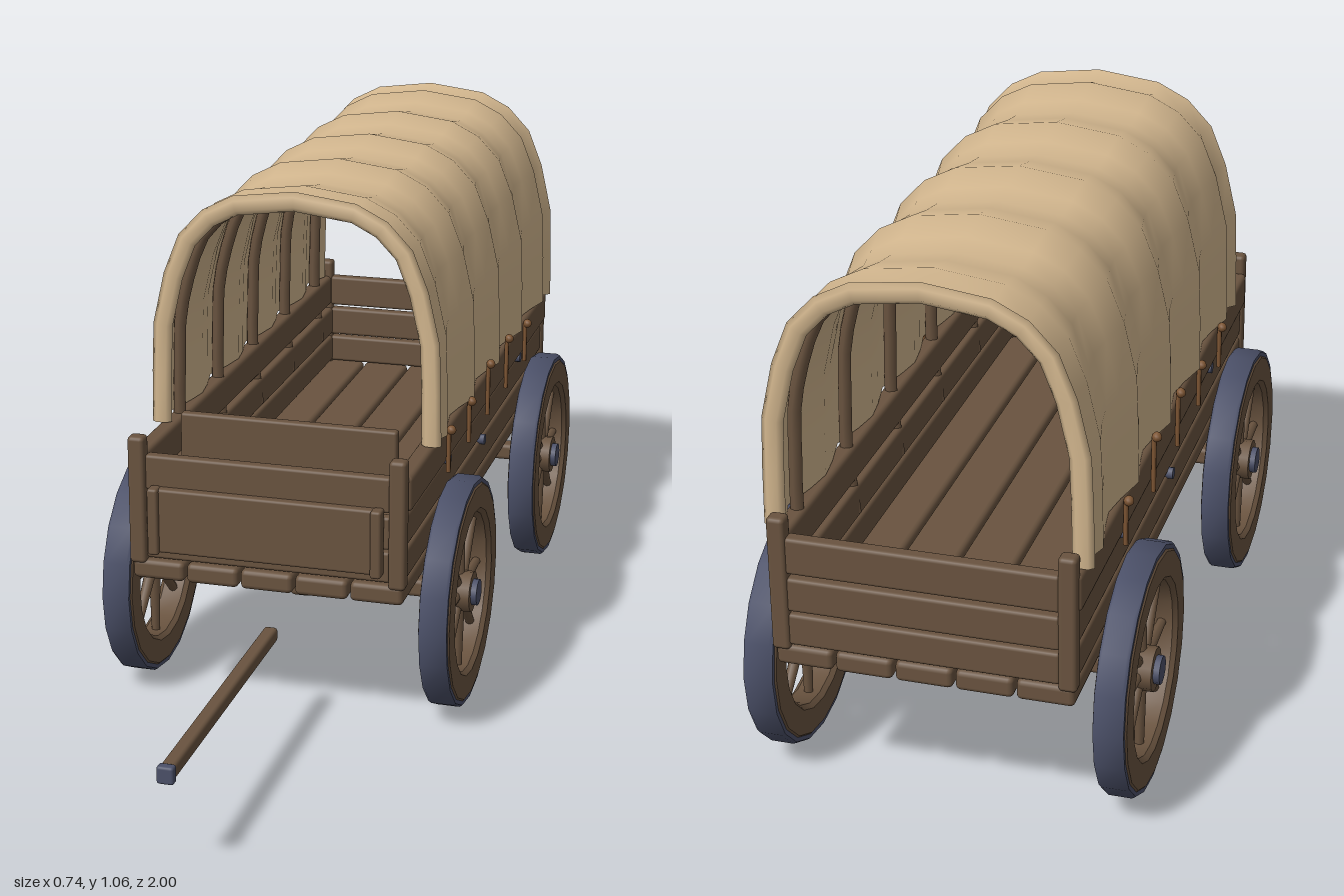
import * as THREE from 'three';
import { RoundedBoxGeometry } from 'three/addons/geometries/RoundedBoxGeometry.js';
import { toCreasedNormals } from 'three/addons/utils/BufferGeometryUtils.js';

const mat = (name, color, side = THREE.FrontSide) => {
  const m = new THREE.MeshStandardMaterial({ color, side });
  m.name = name;
  return m;
};

// Arch outline, right half from the hem up to the ridge, then mirrored
const half = [[-0.3, 0.562], [-0.298, 0.67], [-0.294, 0.77], [-0.27, 0.875], [-0.238, 0.955],
  [-0.188, 1.008], [-0.125, 1.04], [0, 1.056]];
const arch = [...half, ...half.slice(0, -1).reverse().map(([x, y]) => [-x, y])];

// Arch point j moved outward by o
function archPoint(j, o) {
  const a = arch[Math.max(j - 1, 0)], b = arch[Math.min(j + 1, arch.length - 1)];
  const dx = b[0] - a[0], dy = b[1] - a[1], l = Math.hypot(dx, dy);
  const lift = j === 0 || j === arch.length - 1 ? 0 : (dx / l) * o;
  return [arch[j][0] - (dy / l) * o, arch[j][1] + lift];
}

// Cloth: a closed loop of [z, offset] (outside front to back, inside back to front) swept over the arch
function coverGeometry(hoopZ) {
  const outer = [[0.2, -0.01], [0.192, 0], [0.17, -0.02]];
  hoopZ.forEach((z, i) => {
    outer.push([z, -0.004]);
    if (i < hoopZ.length - 1) outer.push([z - 0.07, -0.02], [z - 0.125, -0.028], [z - 0.18, -0.02]);
  });
  outer.push([-0.93, -0.02], [-0.952, 0], [-0.96, -0.01]);
  const inner = outer.slice(2, -2).reverse().map(([z, o]) => [z, o - 0.012]);
  const loop = [...outer, [-0.96, -0.03], [-0.95, -0.04], ...inner, [0.19, -0.04], [0.2, -0.03]];
  const n = arch.length, pos = [], idx = [];
  loop.forEach(([z, o]) => arch.forEach((_, j) => pos.push(...archPoint(j, o), z)));
  for (let i = 0; i < loop.length; i++) {
    const p = i * n, q = ((i + 1) % loop.length) * n;
    for (let j = 0; j < n - 1; j++) idx.push(p + j, p + j + 1, q + j, p + j + 1, q + j + 1, q + j);
  }
  const g = new THREE.BufferGeometry();
  g.setAttribute('position', new THREE.Float32BufferAttribute(pos, 3));
  g.setIndex(idx);
  g.computeVertexNormals();
  return g;
}

export function createModel() {
  const wood = mat('wood', 0x69533f);
  const iron = mat('iron', 0x4b5068);
  const cloth = mat('canvas', 0xd2b68e, THREE.DoubleSide);
  const rope = mat('rope', 0x7d5533);
  const wagon = new THREE.Group();
  wagon.name = 'coveredWagon';

  const add = (name, geo, material, x = 0, y = 0, z = 0, parent = wagon) => {
    const m = new THREE.Mesh(geo, material);
    m.name = name;
    m.position.set(x, y, z);
    parent.add(m);
    return m;
  };
  // Soft-edged timber given by its limits on each axis
  const board = (name, x0, x1, y0, y1, z0, z1, material = wood) => {
    const w = x1 - x0, h = y1 - y0, d = z1 - z0;
    const geo = new RoundedBoxGeometry(w, h, d, 2, Math.min(w, h, d) * 0.25);
    return add(name, geo, material, (x0 + x1) / 2, (y0 + y1) / 2, (z0 + z1) / 2);
  };
  // Cylinder lying along x
  const rod = (name, r, x0, x1, y, z, material, parent, sides = 12) => {
    const geo = new THREE.CylinderGeometry(r, r, Math.abs(x1 - x0), sides).rotateZ(Math.PI / 2);
    return add(name, geo, material, (x0 + x1) / 2, y, z, parent);
  };

  // Floor planks
  for (let i = -2; i <= 2; i++) {
    board('floorPlank', i * 0.111 - 0.053, i * 0.111 + 0.053, 0.302, 0.342, -0.993, 0.397);
  }

  // Sides, corner posts, bolts and rope ties
  const rows = [[0.345, 0.408], [0.413, 0.48], [0.488, 0.56]];
  for (const s of [-1, 1]) {
    rows.forEach(([y0, y1], i) => {
      const c = s * (i === 2 ? 0.267 : 0.26), t = i === 2 ? 0.018 : 0.015;
      board('sideBoard', c - t, c + t, y0, y1, -0.982, 0.372);
    });
    for (const z of [-0.982, 0.385]) {
      board('cornerPost', s * 0.263 - 0.017, s * 0.263 + 0.017, 0.335, 0.598, z - 0.016, z + 0.016);
    }
    for (const [z, y] of [[0.04, 0.484], [-0.3, 0.411], [-0.68, 0.484]]) {
      rod('bolt', 0.012, s * 0.265, s * 0.285, y, z, iron, wagon, 8);
    }
    [0.08, -0.11, -0.295, -0.49, -0.7].forEach((z, i) => {
      const top = i === 2 || i === 3 ? 0.585 : 0.56;
      add('ropeTie', new THREE.CylinderGeometry(0.005, 0.005, top - 0.47, 6), rope, s * 0.29, (top + 0.47) / 2, z);
      add('ropeKnot', new THREE.SphereGeometry(0.01, 8, 6), rope, s * 0.295, top, z);
    });
  }

  // Tailgate and front wall
  rows.forEach(([y0, y1]) => {
    board('tailBoard', -0.25, 0.25, y0, y1, -0.994, -0.966);
    board('frontBoard', -0.248, 0.248, y0, y1, 0.365, 0.39);
  });
  // Footboard with end battens
  board('footboard', -0.225, 0.225, 0.365, 0.498, 0.385, 0.408);
  for (const s of [-1, 1]) board('footboardBatten', s * 0.225 - 0.011, s * 0.225 + 0.011, 0.362, 0.5, 0.388, 0.418);
  // Bench
  board('seat', -0.235, 0.235, 0.485, 0.51, 0.235, 0.37);
  board('seatBack', -0.223, 0.223, 0.5, 0.602, 0.222, 0.245);

  // Hoops and canvas cover
  const hoopZ = [0.12, -0.13, -0.38, -0.63, -0.88];
  const hoopPoints = arch.map((_, j) => new THREE.Vector3(...archPoint(j, -0.033), 0));
  hoopPoints.unshift(new THREE.Vector3(-0.255, 0.42, 0));
  hoopPoints.push(new THREE.Vector3(0.255, 0.42, 0));
  const hoop = new THREE.TubeGeometry(new THREE.CatmullRomCurve3(hoopPoints), 32, 0.013, 8);
  for (const z of hoopZ) add('coverHoop', hoop, wood, 0, 0, z);
  add('canvasCover', coverGeometry(hoopZ), cloth);

  // Wheels: profiles are [radius, half width], turned about the axle
  const ring = (pts) => toCreasedNormals(
    new THREE.LatheGeometry(pts.map(([r, y]) => new THREE.Vector2(r, y)), 20).rotateZ(Math.PI / 2), 0.7);
  const rim = ring([[0.172, -0.031], [0.22, -0.031], [0.227, -0.025], [0.227, 0.025], [0.22, 0.031],
    [0.172, 0.031], [0.164, 0.022], [0.164, -0.022], [0.172, -0.031]]);
  const tyre = ring([[0.222, -0.028], [0.232, -0.028], [0.236, -0.022], [0.236, 0.022], [0.232, 0.028],
    [0.222, 0.028], [0.222, -0.028]]);
  const spoke = new THREE.CylinderGeometry(0.009, 0.013, 0.15, 8).translate(0, 0.1, 0);
  const axleY = 0.236;
  for (const z of [0.13, -0.73]) {
    for (const s of [-1, 1]) {
      const wheel = new THREE.Group();
      wheel.name = 'wheel';
      wheel.position.set(s * 0.327, axleY, z);
      wagon.add(wheel);
      add('wheelRim', rim, wood, 0, 0, 0, wheel);
      add('tyre', tyre, iron, 0, 0, 0, wheel);
      for (let i = 0; i < 8; i++) add('spoke', spoke, wood, 0, 0, 0, wheel).rotation.x = i * Math.PI / 4;
      rod('hub', 0.042, s * -0.033, s * 0.03, 0, 0, wood, wheel);
      rod('hubCap', 0.027, s * 0.02, s * 0.042, 0, 0, iron, wheel);
      rod('axleCollar', 0.02, s * 0.262, s * 0.3, axleY, z, iron);
    }
    // Axle and bolster
    board('axle', -0.28, 0.28, 0.218, 0.256, z - 0.02, z + 0.02);
    board('bolster', -0.205, 0.205, 0.228, 0.264, z - 0.027, z + 0.027);
  }

  // Reach beam and draw pole
  board('reachBeam', -0.023, 0.023, 0.196, 0.24, -0.76, 0.16);
  board('drawPole', -0.014, 0.014, 0.185, 0.214, 0.36, 0.985);
  board('poleTip', -0.016, 0.016, 0.182, 0.216, 0.98, 1.0, iron);

  return wagon;
}
